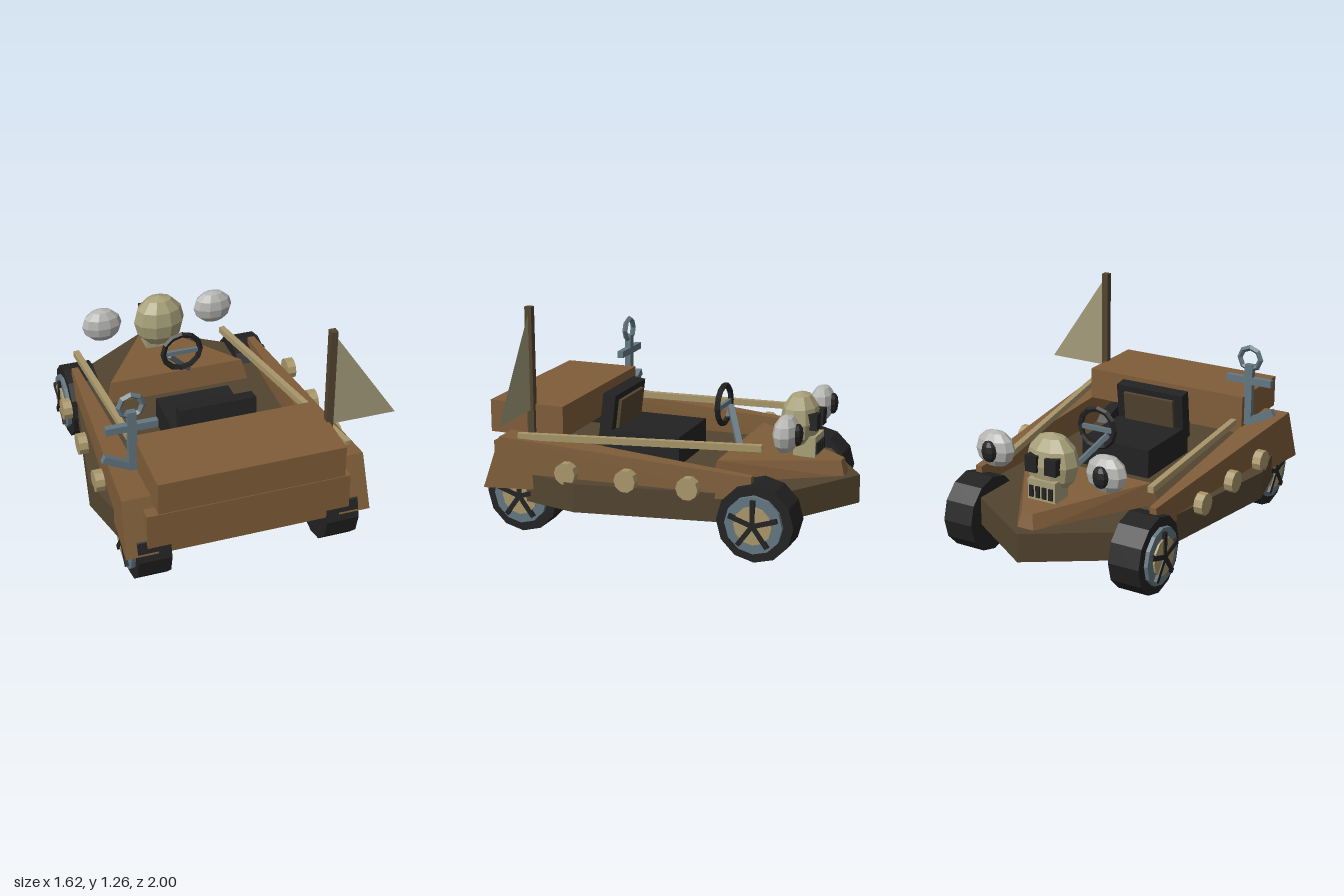
import * as THREE from 'three';
import { ConvexGeometry } from 'three/addons/geometries/ConvexGeometry.js';

const mat = (name, color, extra = {}) => {
  const m = new THREE.MeshStandardMaterial({ color, flatShading: true, ...extra });
  m.name = name;
  return m;
};
const M = {
  wood: mat('plank brown', 0x7f5d39),
  dark: mat('dark timber', 0x52442f),
  rope: mat('straw yellow', 0xa8966a),
  bone: mat('bone', 0xa79f78),
  pale: mat('pale bone', 0xb4b4b1),
  black: mat('black', 0x222222),
  steel: mat('blue steel', 0x637680),
  cloth: mat('sail cloth', 0xa39b7a, { side: THREE.DoubleSide }),
};

export function createModel() {
  const root = new THREE.Group();
  root.name = 'shipKart';
  const kart = new THREE.Group(); // kart is symmetric about this group's x = 0
  kart.name = 'kart';
  kart.position.x = -0.09;
  root.add(kart);

  const add = (name, geo, material, parent = kart, pos = [0, 0, 0]) => {
    const m = new THREE.Mesh(geo, material);
    m.name = name;
    m.position.set(...pos);
    parent.add(m);
    return m;
  };
  // box from min/max ranges
  const box = (name, [x0, x1], [y0, y1], [z0, z1], material, parent = kart) =>
    add(name, new THREE.BoxGeometry(x1 - x0, y1 - y0, z1 - z0), material, parent,
      [(x0 + x1) / 2, (y0 + y1) / 2, (z0 + z1) / 2]);
  // square bar between two points
  const bar = (name, a, b, w, h, material, parent = kart) => {
    const p = new THREE.Vector3(...a), q = new THREE.Vector3(...b);
    const m = add(name, new THREE.BoxGeometry(w, h, p.distanceTo(q)), material, parent);
    m.position.copy(p).add(q).multiplyScalar(0.5);
    m.lookAt(q);
    return m;
  };
  const hullOf = (pts) => new ConvexGeometry(pts.map((p) => new THREE.Vector3(...p)));
  const ball = (name, rx, ry, rz, material, parent, pos, seg = 10, rows = 6) =>
    add(name, new THREE.SphereGeometry(1, seg, rows).scale(rx, ry, rz), material, parent, pos);

  // hull: pointed plan, flat sides
  const plan = [[0, -1], [0.54, -0.64], [0.72, 0.4], [0.6, 0.9], [-0.6, 0.9], [-0.72, 0.4], [-0.54, -0.64]];
  const hull = new THREE.ExtrudeGeometry(
    new THREE.Shape(plan.map((p) => new THREE.Vector2(...p))), { depth: 0.16, bevelEnabled: false });
  add('hull', hull.rotateX(Math.PI / 2).translate(0, 0.35, 0), M.dark);

  // bow deck
  const deck = [];
  for (const s of [-1, 1]) {
    deck.push([s * 0.05, 0.34, -0.925], [s * 0.435, 0.34, -0.283],
      [s * 0.034, 0.43, -0.9], [s * 0.4, 0.472, -0.31]);
  }
  add('bowDeck', hullOf(deck), M.wood);

  // tail board and trunk
  box('tailBoard', [-0.557, 0.557], [0.24, 0.49], [0.885, 0.96], M.wood);
  box('trunk', [-0.507, 0.507], [0.527, 0.71], [0.555, 1], M.wood);

  // seat
  box('seatBase', [-0.215, 0.215], [0.34, 0.515], [-0.015, 0.45], M.black);
  const back = new THREE.Group();
  back.name = 'seatBack';
  back.position.set(0, 0.46, 0.437);
  back.rotation.x = -0.125;
  kart.add(back);
  box('backrest', [-0.215, 0.215], [-0.02, 0.265], [-0.038, 0.038], M.black, back);
  box('backrestPanel', [-0.16, 0.16], [0.05, 0.23], [-0.058, -0.036], M.dark, back);

  // steering wheel and column
  add('steeringWheel', new THREE.TorusGeometry(0.11, 0.017, 5, 12), M.black, kart, [0, 0.673, -0.205]);
  box('steeringSpoke', [-0.1, 0.1], [0.657, 0.683], [-0.214, -0.196], M.steel);
  bar('steeringColumn', [0, 0.67, -0.205], [0, 0.45, -0.335], 0.035, 0.025, M.steel);

  const hubDisc = (r, w, seg) => new THREE.CylinderGeometry(r, r, w, seg).rotateZ(Math.PI / 2);
  for (const s of [-1, 1]) {
    // side panels, widening and rising to the rear
    add('sidePanel', hullOf([
      [s * 0.53, 0.33, -0.56], [s * 0.575, 0.33, -0.56], [s * 0.53, 0.455, -0.56], [s * 0.57, 0.455, -0.56],
      [s * 0.5, 0.25, 0.97], [s * 0.675, 0.25, 0.97], [s * 0.49, 0.55, 0.87], [s * 0.662, 0.55, 0.87],
    ]), M.wood);
    bar('handRail', [s * 0.445, 0.553, -0.56], [s * 0.53, 0.553, 0.785], 0.034, 0.036, M.rope);

    // round plugs along the side
    for (const z of [-0.25, 0.105, 0.457]) {
      add('sidePlug', hubDisc(0.062, 0.05, 10), M.rope, kart, [s * 0.68, 0.393, z]);
    }

    // wheels
    for (const z of [-0.595, 0.765]) {
      const w = new THREE.Group();
      w.name = z < 0 ? 'bowWheel' : 'tailWheel';
      w.position.set(0, 0.214, z);
      kart.add(w);
      add('tyre', hubDisc(0.214, 0.18, 12), M.black, w, [s * 0.52, 0, 0]);
      add('rim', hubDisc(0.16, 0.03, 12), M.steel, w, [s * 0.617, 0, 0]);
      add('hub', hubDisc(0.106, 0.02, 12), M.rope, w, [s * 0.633, 0, 0]);
      for (let i = 0; i < 5; i++) {
        const a = (i / 5) * Math.PI * 2;
        const spoke = add('spoke', new THREE.BoxGeometry(0.02, 0.14, 0.026).translate(0, 0.07, 0),
          M.black, w, [s * 0.64, 0, 0]);
        spoke.rotation.x = a;
      }
    }

    // small pale lamps beside the bow skull
    ball('lamp', 0.12, 0.105, 0.07, M.pale, kart, [s * 0.345, 0.645, -0.68]);
    ball('lampLens', 0.048, 0.062, 0.03, M.black, kart, [s * 0.345, 0.645, -0.742], 8, 6);
  }

  // bow skull with jaw, eyes and teeth
  const skull = new THREE.Group();
  skull.name = 'bowSkull';
  kart.add(skull);
  ball('cranium', 0.155, 0.165, 0.11, M.bone, skull, [0, 0.63, -0.655]);
  box('jaw', [-0.085, 0.085], [0.445, 0.56], [-0.765, -0.64], M.bone, skull);
  for (const s of [-1, 1]) {
    box('eye', [s * 0.06 - 0.035, s * 0.06 + 0.035], [0.6, 0.69], [-0.775, -0.72], M.black, skull);
  }
  for (let i = 0; i < 4; i++) {
    const x = (i - 1.5) * 0.04;
    box('toothGap', [x - 0.012, x + 0.012], [0.462, 0.525], [-0.775, -0.763], M.black, skull);
  }

  // flag
  box('flagPole', [0.403, 0.441], [0.5, 1.26], [0.72, 0.76], M.dark, root);
  const flag = new THREE.Shape([[0.44, 1.22], [0.44, 0.68], [0.805, 0.68]].map((p) => new THREE.Vector2(...p)));
  add('flag', new THREE.ShapeGeometry(flag), M.cloth, root, [0, 0, 0.74]);

  // anchor
  const anchor = new THREE.Group();
  anchor.name = 'anchor';
  anchor.position.set(-0.615, 0, 0.602);
  root.add(anchor);
  box('shank', [-0.024, 0.024], [0.54, 0.9], [-0.018, 0.018], M.steel, anchor);
  box('stock', [-0.14, 0.14], [0.785, 0.825], [-0.018, 0.018], M.steel, anchor);
  add('ring', new THREE.TorusGeometry(0.064, 0.017, 4, 8), M.steel, anchor, [0, 0.935, 0]);
  for (const s of [-1, 1]) {
    const arm = add('arm', new THREE.BoxGeometry(0.17, 0.042, 0.034), M.steel, anchor, [s * 0.082, 0.597, 0]);
    arm.rotation.z = s * 0.47;
  }
  return root;
}
